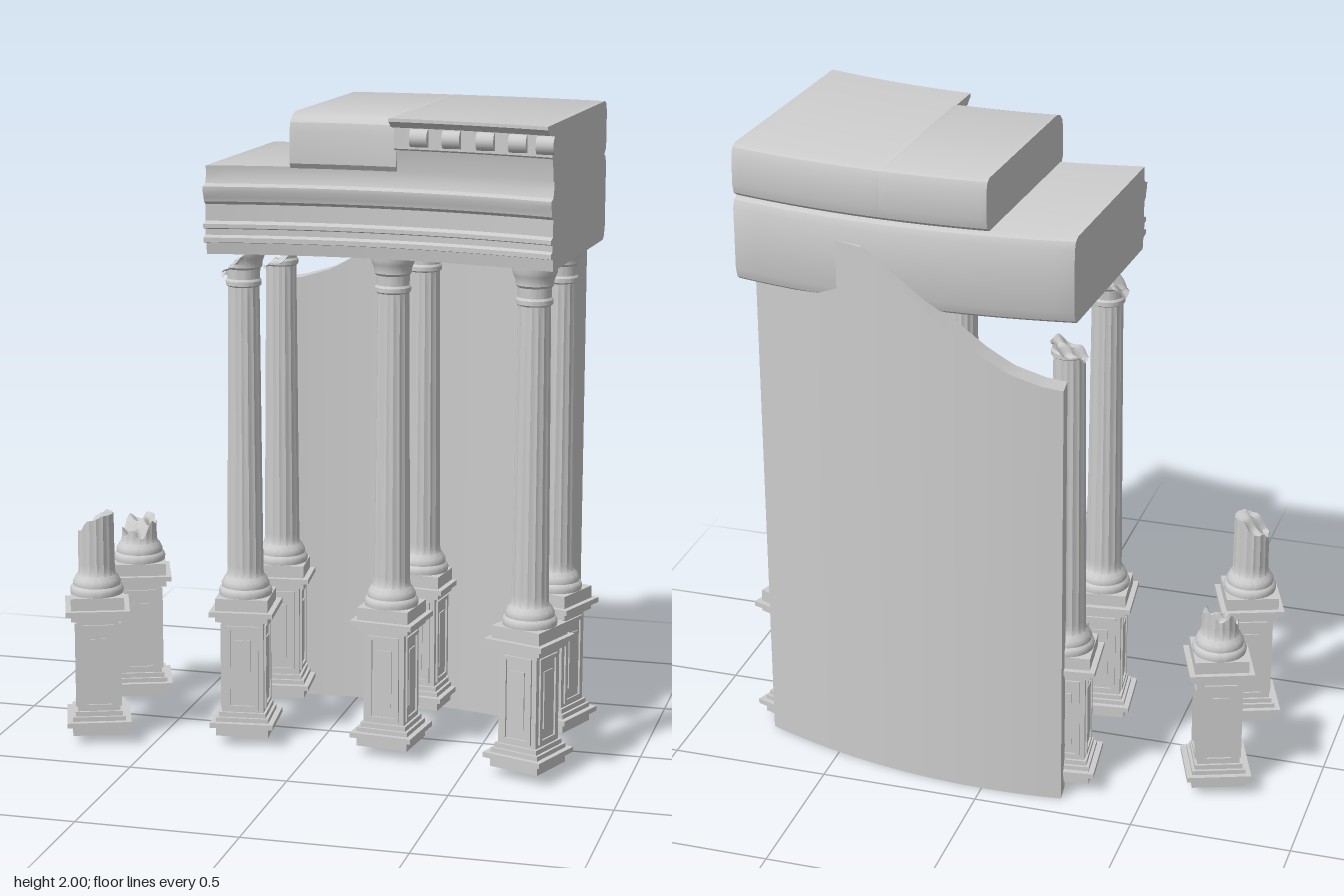
import * as THREE from 'three';
import { toCreasedNormals } from 'three/addons/utils/BufferGeometryUtils.js';

const stone = new THREE.MeshStandardMaterial({ color: 0xcccccc });
stone.name = 'pale stone';

function add(parent, name, geometry, x = 0, y = 0, z = 0) {
  const m = new THREE.Mesh(geometry, stone);
  m.name = name;
  m.position.set(x, y, z);
  parent.add(m);
  return m;
}

// Moves every vertex of a geometry by a rule
function warp(geometry, rule) {
  const p = geometry.attributes.position, v = new THREE.Vector3();
  for (let i = 0; i < p.count; i++) {
    rule(v.fromBufferAttribute(p, i));
    p.setXYZ(i, v.x, v.y, v.z);
  }
  return geometry;
}

// Plan curves of the curved ruin
const frontZ = x => 0.285 + (x - 0.13) ** 2 / 4.2;
const backZ = x => -0.385 + (x - 0.15) ** 2 / 5.4;
const wallZ = x => -0.433 + 0.265 * (x + 0.03) ** 2;

// Block swept along the arc; front and back are [offset, y] lists, front upward, back downward
function curvedBlock(parent, name, x0, x1, front, back) {
  const pts = [
    ...front.map(([w, y]) => new THREE.Vector2(1 + w, y)),
    ...back.map(([w, y]) => new THREE.Vector2(-1 + w, y)),
  ];
  const g = new THREE.ExtrudeGeometry(new THREE.Shape(pts), { depth: x1 - x0, steps: 16, bevelEnabled: false });
  warp(g, v => {
    const x = x1 - v.z;
    const z = v.x > 0 ? frontZ(x) + v.x - 1 : backZ(x) + v.x + 1;
    v.set(x - 0.055 * z, v.y, z);
  });
  return add(parent, name, toCreasedNormals(g, 0.5));
}

function pedestal(parent) {
  const box = (name, h, y0, y1) =>
    add(parent, name, new THREE.BoxGeometry(h * 2, y1 - y0, h * 2), 0, (y0 + y1) / 2, 0);
  box('pedestalFoot', 0.083, 0.03, 0.09);
  box('pedestalFootSlab', 0.1, 0.06, 0.076);
  box('pedestalLowerStep', 0.074, 0.09, 0.105);
  box('pedestalBlock', 0.066, 0.105, 0.4);
  box('pedestalCap', 0.083, 0.4, 0.475);
  box('pedestalCapSlab', 0.1, 0.42, 0.436);
  // Framed panel on each of the four sides
  for (let i = 0; i < 4; i++) {
    const side = new THREE.Group();
    side.name = 'pedestalPanel';
    side.rotation.y = i * Math.PI / 2;
    for (const s of [-1, 1]) {
      add(side, 'panelFrameSide', new THREE.BoxGeometry(0.012, 0.27, 0.008), s * 0.044, 0.25, 0.068);
      add(side, 'panelFrameRail', new THREE.BoxGeometry(0.1, 0.012, 0.008), 0, 0.25 + s * 0.129, 0.068);
    }
    add(side, 'panelCentre', new THREE.BoxGeometry(0.05, 0.18, 0.006), 0, 0.25, 0.067);
    parent.add(side);
  }
}

// Fluted column; a broken one is cut at height cut(x, z), never above limit
function columnGeometry(limit, cut) {
  let prof = [[0.082, 0.475], [0.084, 0.487], [0.08, 0.497], [0.074, 0.502], [0.075, 0.512],
    [0.07, 0.522], [0.066, 0.53], [0.06, 0.535], [0.057, 0.55]];
  for (let y = 0.57; y < 1.45; y += 0.04) prof.push([0.057 - 0.008 * (y - 0.55) / 0.9, y]);
  prof.push([0.049, 1.45], [0.055, 1.455], [0.055, 1.468], [0.05, 1.475], [0.051, 1.505], [0.057, 1.512],
    [0.057, 1.524], [0.063, 1.54], [0.067, 1.55], [0.068, 1.57]);
  prof = prof.filter(p => p[1] <= limit);
  const top = prof[prof.length - 1][0];
  for (const k of [1, 0.66, 0.33, 0]) prof.push([top * k, limit]);
  const g = new THREE.LatheGeometry(prof.map(p => new THREE.Vector2(...p)), 64);
  warp(g, v => {
    if (v.y > 0.545 && v.y < 1.452) {
      const flute = 1 - 0.05 * Math.abs(Math.sin(Math.atan2(v.z, v.x) * 8));
      v.x *= flute;
      v.z *= flute;
    }
    if (cut) v.y = Math.min(v.y, cut(v.x, v.z));
  });
  return toCreasedNormals(g, 0.6);
}

const chips = (x, z) => 0.012 * Math.sin(x * 90 + 1) * Math.cos(z * 75);
const breaks = {
  '0,0': [0.73, (x, z) => 0.71 + 0.8 * x + 0.3 * z + chips(x, z)],
  '1,0': [0.62, (x, z) => 0.585 + 0.4 * x - 0.4 * z + 2 * chips(x, z)],
  '0,1': [1.57, (x, z) => 1.54 + 0.9 * x + chips(x, z)],
  '1,1': [1.52, (x, z) => 1.465 + 0.5 * x + chips(x, z)],
};

export function createModel() {
  const model = new THREE.Group();
  model.name = 'ruinedColonnade';

  // Two curved rows of four columns
  const whole = columnGeometry(1.57);
  [0, -0.42].forEach((dz, row) => [-0.69, -0.235, 0.235, 0.69].forEach((x, i) => {
    const unit = new THREE.Group();
    unit.name = row ? 'backColumn' : 'frontColumn';
    unit.position.set(x, 0, 0.12 + x * x / 4 + dz);
    unit.rotation.y = -Math.asin(x / 2);
    pedestal(unit);
    const b = breaks[row + ',' + i];
    add(unit, b ? 'brokenShaft' : 'shaft', b ? columnGeometry(...b) : whole);
    model.add(unit);
  }));

  // Curved rear wall with a crumbled top on its right
  const edge = [[-0.26, 1.39], [-0.19, 1.4], [-0.09, 1.43], [0, 1.48], [0.13, 1.57], [0.38, 1.76], [0.8, 1.76]];
  const wallTop = x => {
    let i = 0;
    while (i < edge.length - 2 && x > edge[i + 1][0]) i++;
    const [[xa, ya], [xb, yb]] = [edge[i], edge[i + 1]];
    return ya + (yb - ya) * (x - xa) / (xb - xa);
  };
  const wall = warp(new THREE.BoxGeometry(1, 1, 1, 32, 1, 1), v => {
    const x = -0.255 + (v.x + 0.5) * 1.01;
    const slope = 0.53 * (x + 0.03), t = v.z > 0 ? 0.07 : 0;
    v.set(x - slope * t, v.y > 0 ? wallTop(x) : 0, wallZ(x) + t);
  });
  add(model, 'rearWall', toCreasedNormals(wall, 0.5));

  // Entablature with moulded front
  curvedBlock(model, 'entablature', -0.285, 0.785, [
    [-0.03, 1.57], [-0.025, 1.605], [0, 1.61], [0, 1.624], [-0.018, 1.63], [-0.018, 1.648], [0, 1.653],
    [0, 1.665], [-0.022, 1.672], [-0.022, 1.722], [-0.008, 1.732], [-0.005, 1.745], [0.004, 1.765],
    [0.004, 1.778], [-0.02, 1.785], [-0.028, 1.81], [-0.025, 1.838],
  ], [[0.03, 1.838], [0.01, 1.828], [0, 1.805], [0, 1.61], [0.01, 1.58], [0.025, 1.57]]);

  // Upper storey: worn left half and corniced right half
  const upperBack = [[0.03, 2], [0.012, 1.992], [0.004, 1.97], [0, 1.88], [0.008, 1.85], [0.03, 1.835]];
  curvedBlock(model, 'wornAttic', -0.03, 0.295,
    [[-0.015, 1.835], [-0.005, 1.85], [-0.005, 1.945], [-0.012, 1.972], [-0.03, 1.99], [-0.06, 2]], upperBack);
  curvedBlock(model, 'cornice', 0.29, 0.785, [
    [-0.015, 1.835], [-0.012, 1.87], [-0.005, 1.9], [0.002, 1.905], [0.002, 1.967], [0.035, 1.972],
    [0.045, 1.982], [0.06, 1.99], [0.06, 2],
  ], upperBack);

  // Rounded brackets under the cornice
  for (const x of [0.355, 0.455, 0.56, 0.66, 0.745]) {
    const b = add(model, 'corniceBracket', new THREE.CylinderGeometry(0.027, 0.027, 0.052, 16), x, 1.94, frontZ(x) + 0.012);
    b.rotation.z = Math.PI / 2;
  }
  return model;
}
